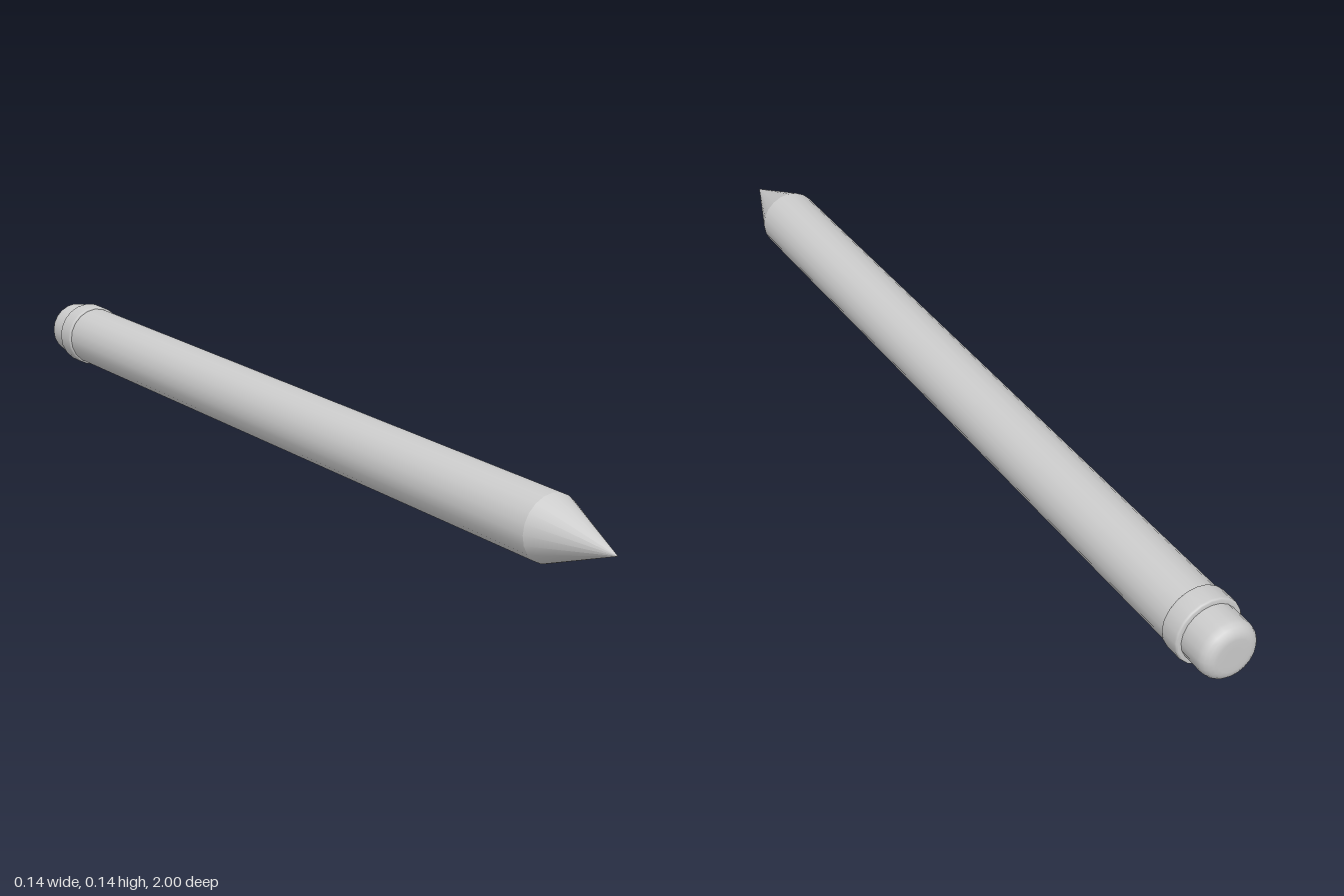
import * as THREE from 'three';

const SIDES = 20;
const AXIS_Y = 0.073;

export function createModel() {
  const model = new THREE.Group();
  const material = new THREE.MeshStandardMaterial({ color: 0xcccccc });

  // Lays a part built along +y so that it points along +z on the pencil axis
  function add(name, geometry, z = 0) {
    geometry.rotateX(Math.PI / 2);
    const mesh = new THREE.Mesh(geometry, material);
    mesh.name = name;
    mesh.position.set(0, AXIS_Y, z);
    model.add(mesh);
  }

  // Lathe from [radius, z] pairs, ordered from back to front
  const lathe = (pairs) =>
    new THREE.LatheGeometry(pairs.map(([r, z]) => new THREE.Vector2(r, z)), SIDES);

  // Long round shaft
  add('shaft', new THREE.CylinderGeometry(0.068, 0.068, 1.72, SIDES), -0.035);

  // Sharpened point
  add('point', new THREE.ConeGeometry(0.068, 0.175, SIDES, 1, true), 0.9125);

  // Band holding the eraser, with slightly softened rims
  add('band', lathe([
    [0.06, -0.925], [0.069, -0.925], [0.0715, -0.923], [0.0725, -0.919],
    [0.0725, -0.882], [0.0715, -0.878], [0.069, -0.876], [0.06, -0.876],
  ]));

  // Eraser with a rounded end
  const radius = 0.062, round = 0.026;
  const eraser = [[0, -1], [0.02, -1]];
  for (let i = 0; i <= 5; i++) {
    const a = (i / 5) * Math.PI / 2;
    eraser.push([radius - round + round * Math.sin(a), -1 + round - round * Math.cos(a)]);
  }
  eraser.push([radius, -0.96], [radius, -0.9]);
  add('eraser', lathe(eraser));

  return model;
}
